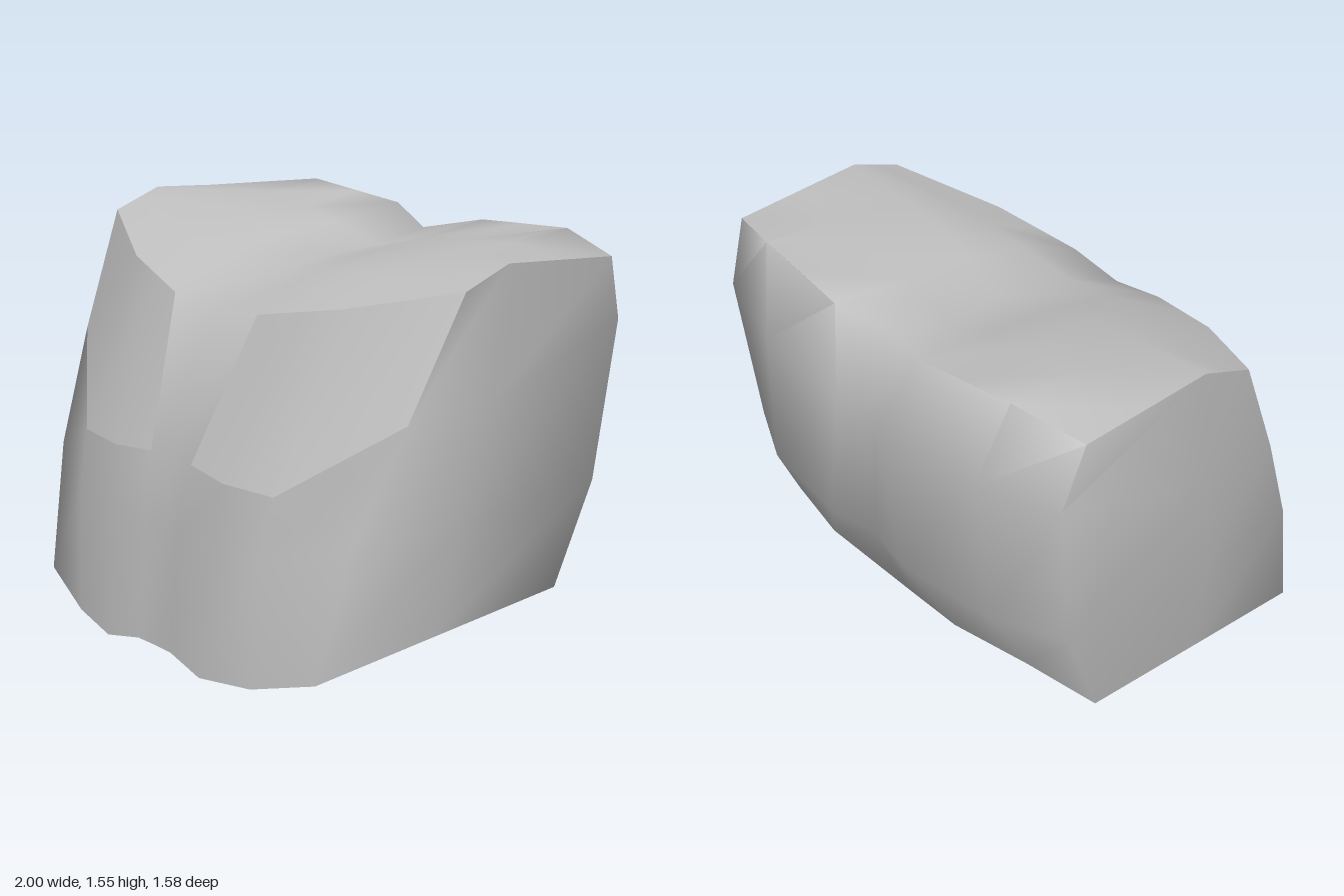
import * as THREE from 'three';
import { mergeGeometries, toCreasedNormals } from 'three/addons/utils/BufferGeometryUtils.js';

// Skin a list of columns (each a list of [x, y, z] points) with quads.
function skin(columns) {
  const rows = columns[0].length;
  const index = [];
  for (let i = 0; i < columns.length - 1; i++) {
    for (let j = 0; j < rows - 1; j++) {
      const a = i * rows + j, b = a + rows;
      index.push(a, b, b + 1, a, b + 1, a + 1);
    }
  }
  const g = new THREE.BufferGeometry();
  g.setAttribute('position', new THREE.Float32BufferAttribute(columns.flat(2), 3));
  g.setIndex(index);
  return g.toNonIndexed();
}

const mirror = (column) => column.map(([x, y, z]) => [-x, y, z]);

export function createModel() {
  const grey = new THREE.MeshStandardMaterial({ color: 0xc0c0c0, side: THREE.DoubleSide });
  grey.name = 'grey';

  // Wall columns from front centre round the left side to back centre, bottom to rim.
  const wall = [
    [[0, 0.035, 0.77], [0, 0.5, 0.725], [0, 0.8, 0.67], [0, 1.27, 0.47]],
    [[0.1, 0.04, 0.78], [0.1, 0.5, 0.73], [0.12, 0.76, 0.685], [0.24, 1.31, 0.465]],
    [[0.28, 0, 0.79], [0.3, 0.5, 0.74], [0.32, 0.74, 0.7], [0.42, 1.345, 0.42]],
    [[0.52, 0.02, 0.745], [0.54, 0.5, 0.715], [0.56, 0.74, 0.665], [0.6, 1.38, 0.375]],
    [[0.8, 0.105, 0.68], [0.86, 0.6, 0.57], [0.94, 1.03, 0.38], [1, 1.48, 0.17]],
    [[0.855, 0.167, 0.13], [0.93, 0.6, 0.1], [0.98, 1.05, 0], [1, 1.55, -0.04]],
    [[0.91, 0.23, -0.43], [0.94, 0.63, -0.59], [0.975, 1.25, -0.66], [1, 1.5, -0.58]],
    [[0.71, 0.38, -0.59], [0.66, 0.63, -0.72], [0.62, 1.2, -0.75], [0.71, 1.55, -0.66]],
    [[0.38, 0.39, -0.66], [0.22, 0.63, -0.77], [0.12, 1.2, -0.79], [0.24, 1.51, -0.69]],
    [[0, 0.28, -0.58], [0, 0.63, -0.73], [0, 1.2, -0.78], [0, 1.455, -0.6]],
  ];
  const loop = [...wall, ...wall.slice(0, -1).reverse().map(mirror)];
  const lowerWall = skin(loop.map((c) => c.slice(0, 3)));
  const upperWall = (from, to) => skin(loop.slice(from, to + 1).map((c) => c.slice(2)));

  // Top columns from centre outward, front edge to back edge, with a central valley.
  const top = [
    [[0, 1.27, 0.47], [0, 1.375, 0.22], [0, 1.41, -0.08], [0, 1.415, -0.35], [0, 1.455, -0.6]],
    [[0.24, 1.31, 0.465], [0.24, 1.42, 0.2], [0.24, 1.465, -0.06], [0.24, 1.48, -0.35], [0.24, 1.51, -0.69]],
    [[0.42, 1.345, 0.42], [0.42, 1.445, 0.18], [0.42, 1.5, -0.05], [0.44, 1.505, -0.35], [0.47, 1.53, -0.675]],
    [[0.6, 1.38, 0.375], [0.62, 1.47, 0.15], [0.66, 1.525, -0.04], [0.7, 1.535, -0.35], [0.71, 1.55, -0.66]],
    [[1, 1.48, 0.17], [1, 1.515, 0.065], [1, 1.55, -0.04], [1, 1.525, -0.31], [1, 1.5, -0.58]],
  ];
  const topSpan = skin([...top.slice(1).reverse().map(mirror), ...top]);

  const group = new THREE.Group();
  group.name = 'lobedShell';
  const add = (name, parts) => {
    const mesh = new THREE.Mesh(toCreasedNormals(mergeGeometries(parts), 1.4), grey);
    mesh.name = name;
    group.add(mesh);
  };

  // Smooth body, open underneath; the wall runs into the top at the front valley and the back.
  add('body', [lowerWall, upperWall(0, 1), upperWall(4, 14), upperWall(17, 18), topSpan]);
  // Two front lobes with a sharp upper edge.
  add('leftFrontLobe', [upperWall(1, 4)]);
  add('rightFrontLobe', [upperWall(14, 17)]);
  return group;
}
